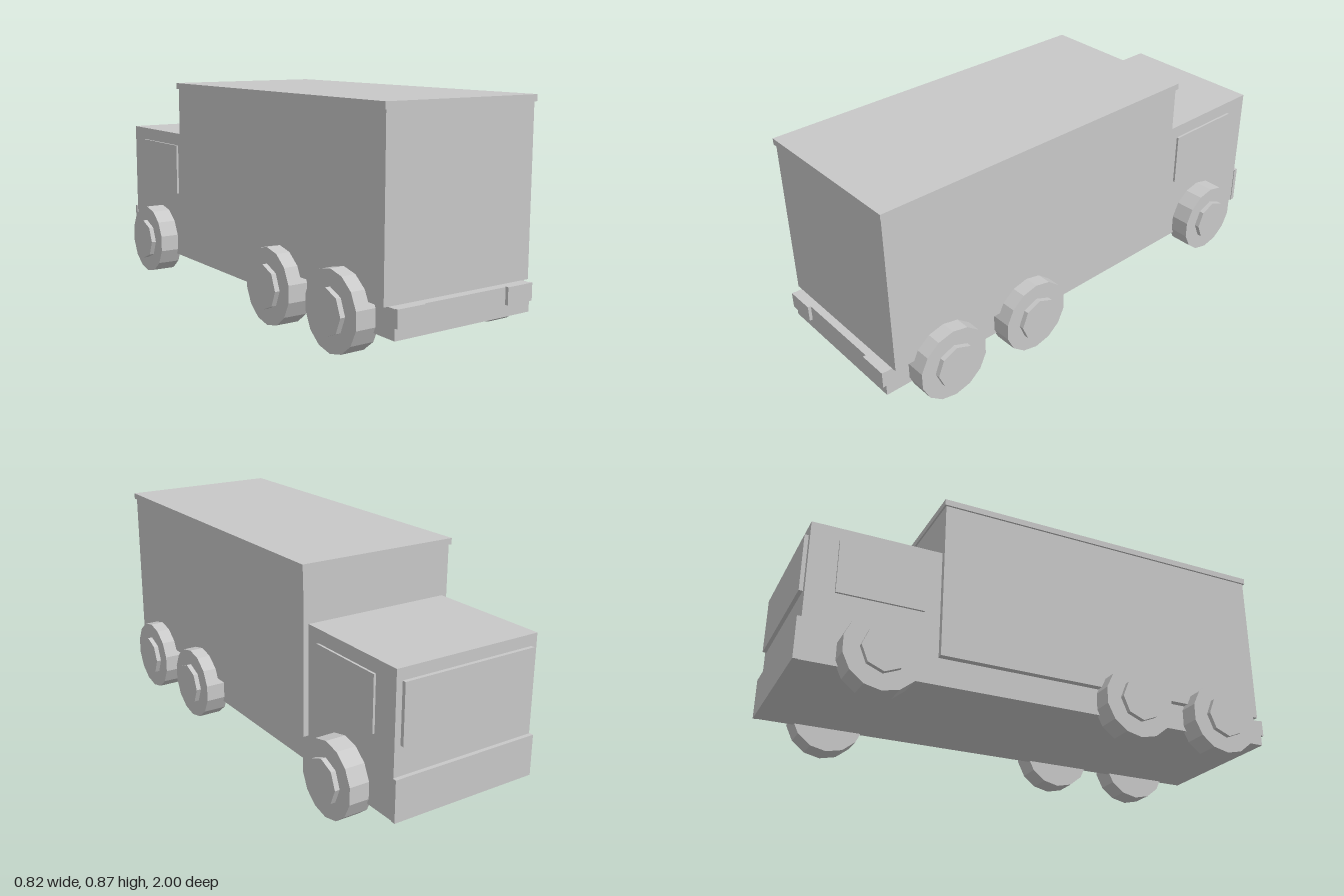
import * as THREE from 'three';

export function createModel() {
  const group = new THREE.Group();
  const grey = new THREE.MeshStandardMaterial({ color: 0xc8c8c8 });
  grey.name = 'light grey';

  const add = (name, geometry) => {
    const mesh = new THREE.Mesh(geometry, grey);
    mesh.name = name;
    group.add(mesh);
    return mesh;
  };

  // Box given by its low and high limits on each axis
  const block = (name, x0, x1, y0, y1, z0, z1) =>
    add(name, new THREE.BoxGeometry(x1 - x0, y1 - y0, z1 - z0))
      .position.set((x0 + x1) / 2, (y0 + y1) / 2, (z0 + z1) / 2);

  // Faceted disc lying along x, with a corner pointing straight down
  const disc = (name, radius, sides, x0, x1, z) => {
    const geometry = new THREE.CylinderGeometry(radius, radius, Math.abs(x1 - x0), sides, 1, false, Math.PI / 2)
      .toNonIndexed();
    geometry.computeVertexNormals();
    geometry.rotateZ(Math.PI / 2);
    add(name, geometry).position.set((x0 + x1) / 2, 0.15, z);
  };

  // Body: the cab is at the -z end
  block('chassis', -0.31, 0.31, 0.095, 0.203, -0.475, 0.987);
  block('cab', -0.31, 0.31, 0.095, 0.645, -0.983, -0.473);
  block('cargoBox', -0.333, 0.333, 0.205, 0.85, -0.473, 0.957);
  block('cargoRoof', -0.341, 0.341, 0.847, 0.872, -0.48, 0.963);
  block('bumper', -0.313, 0.313, 0.095, 0.257, -1, -0.982);
  block('windshield', -0.285, 0.285, 0.37, 0.6, -0.998, -0.982);

  for (const side of [-1, 1]) {
    // Thin window plates and tail lights
    const outer = side * 0.319, inner = side * 0.309;
    block('sideWindow', Math.min(outer, inner), Math.max(outer, inner), 0.376, 0.592, -0.875, -0.537);
    block('tailLight', side < 0 ? -0.31 : 0.19, side < 0 ? -0.19 : 0.31, 0.139, 0.205, 0.986, 1);

    // Three axles, each wheel with a raised hub
    for (const z of [-0.705, 0.337, 0.74]) {
      disc('wheel', 0.15, 14, side * 0.295, side * 0.391, z);
      disc('hub', 0.087, 8, side * 0.385, side * 0.411, z);
    }
  }
  return group;
}
